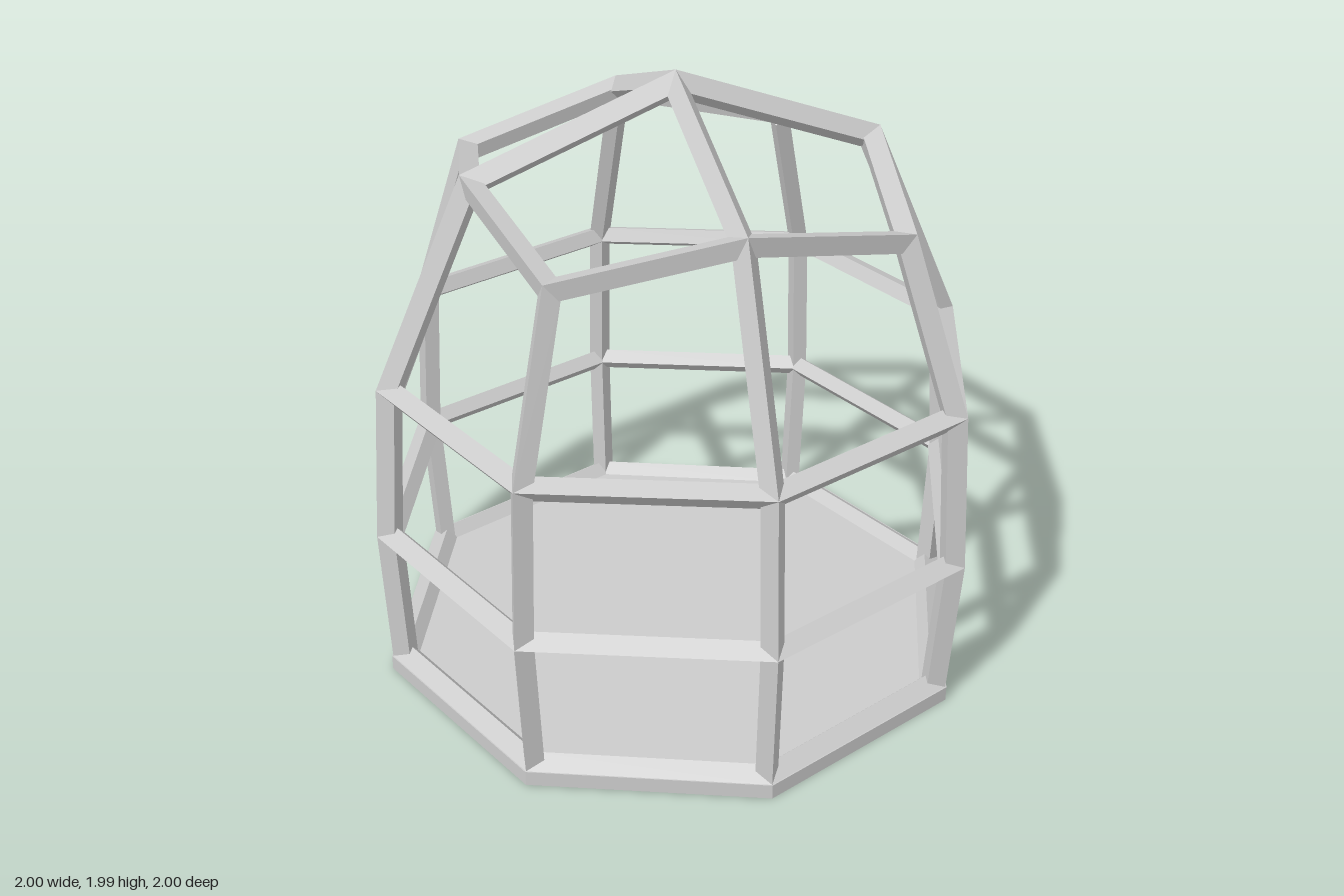
import * as THREE from 'three';

const material = new THREE.MeshStandardMaterial({ color: 0xcccccc, flatShading: true });

// Kite section of every bar: [outward offset from the ridge, sideways offset]
const SECTION = [[0, 0], [-0.05, 0.037], [-0.083, 0], [-0.05, -0.037]];

// Height, radius at the axes, x/z at the diagonals, outward tilt of each ring
const RINGS = [
  { name: 'base', y: 0.05, axis: 0.98, diag: 0.697, tilt: 0 },
  { name: 'lower', y: 0.525, axis: 1.0, diag: 0.72, tilt: 0 },
  { name: 'middle', y: 1.055, axis: 0.966, diag: 0.7, tilt: 14 },
  { name: 'upper', y: 1.735, yDiag: 1.62, axis: 0.67, diag: 0.56, tilt: 45 },
];

function makeNode(ring, i) {
  const a = (i * Math.PI) / 4;
  const odd = i % 2 === 1;
  const r = odd ? ring.diag * Math.SQRT2 : ring.axis;
  const t = THREE.MathUtils.degToRad(ring.tilt);
  return {
    p: new THREE.Vector3(Math.sin(a) * r, odd && ring.yDiag ? ring.yDiag : ring.y, Math.cos(a) * r),
    n: new THREE.Vector3(Math.sin(a) * Math.cos(t), Math.sin(t), Math.cos(a) * Math.cos(t)),
  };
}

// Bar with mitred ends, its sharp ridge running from node a to node b
function makeBar(a, b, name) {
  const d = b.p.clone().sub(a.p).normalize();
  const o = a.n.clone().add(b.n);
  o.addScaledVector(d, -o.dot(d)).normalize();
  const s = d.clone().cross(o);
  const endSection = ({ p, n }) => {
    const t = d.clone().addScaledVector(n, -d.dot(n));
    return SECTION.map(([out, side]) => {
      const q = o.clone().multiplyScalar(out).addScaledVector(s, side);
      q.addScaledVector(d, -q.dot(t) / d.dot(t));
      return q.add(p);
    });
  };
  const A = endSection(a), B = endSection(b);
  const tris = [];
  for (let i = 0; i < 4; i++) {
    const j = (i + 1) % 4;
    tris.push(A[i], A[j], B[j], A[i], B[j], B[i]);
  }
  tris.push(A[0], A[2], A[1], A[0], A[3], A[2]);
  tris.push(B[0], B[1], B[2], B[0], B[2], B[3]);
  const geometry = new THREE.BufferGeometry().setFromPoints(tris);
  geometry.computeVertexNormals();
  const mesh = new THREE.Mesh(geometry, material);
  mesh.name = name;
  return mesh;
}

export function createModel() {
  const model = new THREE.Group();
  model.name = 'domeFrame';

  const nodes = RINGS.map((ring) => Array.from({ length: 8 }, (_, i) => makeNode(ring, i)));

  // Octagonal floor slab
  const outline = nodes[0].map(({ p }) => new THREE.Vector2(p.x * 1.004, p.z * 1.004));
  const floorGeometry = new THREE.ExtrudeGeometry(new THREE.Shape(outline), { depth: 0.05, bevelEnabled: false });
  floorGeometry.rotateX(Math.PI / 2).translate(0, 0.05, 0);
  const floor = new THREE.Mesh(floorGeometry, material);
  floor.name = 'floor';
  model.add(floor);

  // Horizontal rings, and the posts between one ring and the next
  RINGS.forEach((ring, k) => {
    const ringGroup = new THREE.Group();
    ringGroup.name = ring.name + 'Ring';
    const postGroup = new THREE.Group();
    postGroup.name = ring.name + 'Posts';
    for (let i = 0; i < 8; i++) {
      ringGroup.add(makeBar(nodes[k][i], nodes[k][(i + 1) % 8], 'ringBar'));
      if (k + 1 < RINGS.length) postGroup.add(makeBar(nodes[k][i], nodes[k + 1][i], 'post'));
    }
    model.add(ringGroup);
    if (postGroup.children.length) model.add(postGroup);
  });

  // Four roof ribs rising to the apex
  const apex = { p: new THREE.Vector3(0, 1.99, 0), n: new THREE.Vector3(0, 1, 0) };
  const roof = new THREE.Group();
  roof.name = 'roofRibs';
  for (let i = 0; i < 8; i += 2) roof.add(makeBar(nodes[3][i], apex, 'roofRib'));
  model.add(roof);

  return model;
}
